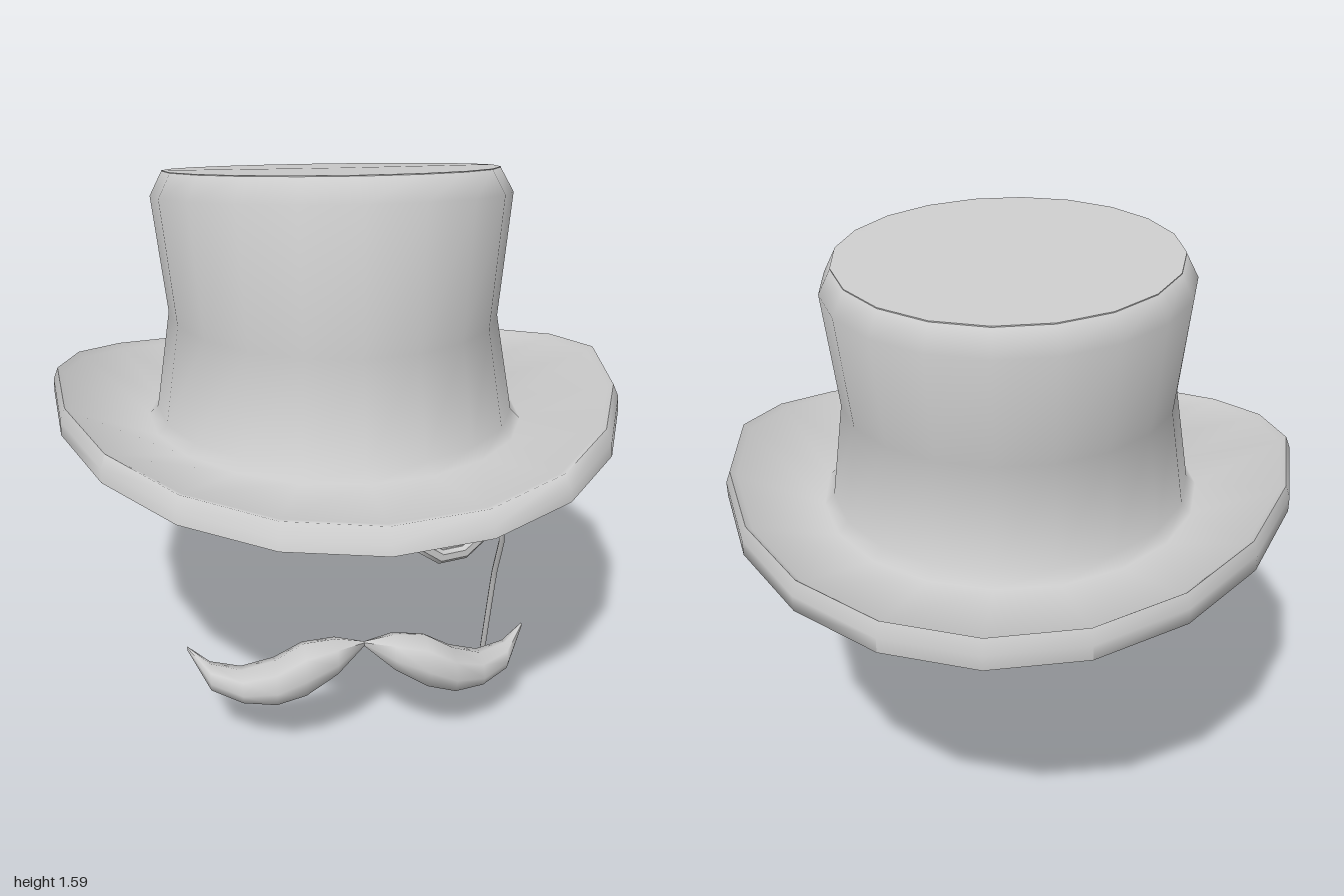
import * as THREE from 'three';
import { toCreasedNormals } from 'three/addons/utils/BufferGeometryUtils.js';

// Skin closed rings of equal length and close both ends with a fan
function loft(rings, crease) {
  const n = rings[0].length;
  const pos = rings.flat(2);
  const index = [];
  for (let i = 0; i < rings.length - 1; i++) {
    for (let j = 0; j < n; j++) {
      const a = i * n + j, b = i * n + (j + 1) % n;
      index.push(a, b, b + n, a, b + n, a + n);
    }
  }
  [0, rings.length - 1].forEach((r, end) => {
    const centre = pos.length / 3;
    for (let k = 0; k < 3; k++) pos.push(rings[r].reduce((s, p) => s + p[k], 0) / n);
    for (let j = 0; j < n; j++) {
      const a = r * n + j, b = r * n + (j + 1) % n;
      index.push(...(end ? [a, b, centre] : [b, a, centre]));
    }
  });
  const g = new THREE.BufferGeometry();
  g.setAttribute('position', new THREE.Float32BufferAttribute(pos, 3));
  g.setIndex(index);
  return toCreasedNormals(g, crease);
}

// Oval ring whose height varies between side, front and back
function ovalRing([rx, zFront, zBack, ySide, yFront, yBack, power = 1]) {
  return Array.from({ length: 20 }, (_, i) => {
    const a = (i / 20) * Math.PI * 2;
    const s = -Math.sin(a);
    const yEnd = s > 0 ? yFront : yBack;
    return [
      rx * Math.cos(a),
      ySide + (yEnd - ySide) * Math.abs(s) ** power,
      (zFront + zBack) / 2 + (s * (zFront - zBack)) / 2,
    ];
  });
}

export function createModel() {
  const model = new THREE.Group();
  const grey = new THREE.MeshStandardMaterial({ color: 0xcccccc });
  const add = (name, geometry, parent = model) => {
    const mesh = new THREE.Mesh(geometry, grey);
    mesh.name = name;
    parent.add(mesh);
    return mesh;
  };

  // Top hat: up the inside, out under the brim, over the lipped rim and up the crown
  const hatRings = [
    // rx, zFront, zBack, ySide, yFront, yBack, power
    [0.48, 0.51, -0.66, 1.46, 1.52, 1.4],
    [0.46, 0.53, -0.63, 1.11, 1.12, 1.09],
    [0.455, 0.52, -0.585, 0.85, 0.875, 0.8],
    [0.465, 0.51, -0.56, 0.74, 0.78, 0.672, 0.7],
    [0.848, 0.995, -0.997, 0.89, 0.765, 0.7, 1.15],
    [0.848, 0.985, -1.0, 0.925, 0.79, 0.74, 1.3],
    [0.835, 0.955, -0.982, 0.958, 0.825, 0.78, 1.3],
    [0.818, 0.935, -0.955, 0.943, 0.822, 0.763, 1.3],
    [0.57, 0.66, -0.69, 0.8, 0.81, 0.758],
    [0.542, 0.622, -0.65, 0.825, 0.84, 0.79],
    [0.497, 0.565, -0.668, 1.11, 1.12, 1.09],
    [0.537, 0.565, -0.725, 1.455, 1.52, 1.385],
    [0.5, 0.515, -0.697, 1.525, 1.583, 1.458],
  ];
  add('topHat', loft(hatRings.map(ovalRing), 1.4));

  // Flat lid closing the crown with a sharp edge
  const lidRings = [
    [0.5, 0.515, -0.697, 1.505, 1.565, 1.44],
    [0.5, 0.515, -0.697, 1.527, 1.586, 1.461],
  ];
  add('crownLid', loft(lidRings.map(ovalRing), 0.5));

  // Monocle: ten-sided bevelled frame with a glass disc
  const monocle = new THREE.Group();
  monocle.name = 'monocle';
  monocle.position.set(0.265, 0.64, 0.505);
  monocle.rotation.y = 0.29;
  model.add(monocle);
  const frameProfile = [
    [0.105, -0.01], [0.115, -0.02], [0.135, -0.02], [0.147, -0.01],
    [0.147, 0.01], [0.135, 0.02], [0.115, 0.02], [0.105, 0.01], [0.105, -0.01],
  ].map(([r, y]) => new THREE.Vector2(r, y));
  const frame = new THREE.LatheGeometry(frameProfile, 10, Math.PI / 10);
  add('monocleFrame', toCreasedNormals(frame.rotateX(Math.PI / 2), 0.5), monocle);
  const glass = new THREE.CylinderGeometry(0.108, 0.108, 0.012, 10, 1, false, Math.PI / 10);
  add('monocleGlass', glass.rotateX(Math.PI / 2), monocle);

  // Cord hanging in nearly straight lengths from the outer side of the monocle
  const cordPath = new THREE.CatmullRomCurve3([
    [0.398, 0.68, 0.463], [0.434, 0.52, 0.432],
    [0.432, 0.38, 0.375], [0.426, 0.002, 0.285],
  ].map((p) => new THREE.Vector3(...p)), false, 'catmullrom', 0.1);
  add('monocleCord', new THREE.TubeGeometry(cordPath, 16, 0.009, 5));

  // Moustache: two mirrored halves curling back to pointed tips
  const sections = [
    // x, yTop, yBottom, z, half depth
    [0, 0.318, 0.304, 0.61, 0.006],
    [0.08, 0.338, 0.235, 0.62, 0.055],
    [0.17, 0.335, 0.18, 0.628, 0.072],
    [0.25, 0.285, 0.158, 0.622, 0.072],
    [0.34, 0.24, 0.15, 0.585, 0.064],
    [0.425, 0.24, 0.164, 0.54, 0.046],
    [0.487, 0.272, 0.262, 0.492, 0.006],
  ];
  for (const side of [1, -1]) {
    const rings = sections.map(([x, top, bottom, z, depth]) =>
      Array.from({ length: 8 }, (_, i) => {
        const a = (side * i * Math.PI) / 4;
        return [
          side * x,
          (top + bottom) / 2 + (Math.cos(a) * (top - bottom)) / 2,
          z + Math.sin(a) * depth,
        ];
      }));
    add(side > 0 ? 'leftMoustache' : 'rightMoustache', loft(rings, 1.2));
  }

  return model;
}
